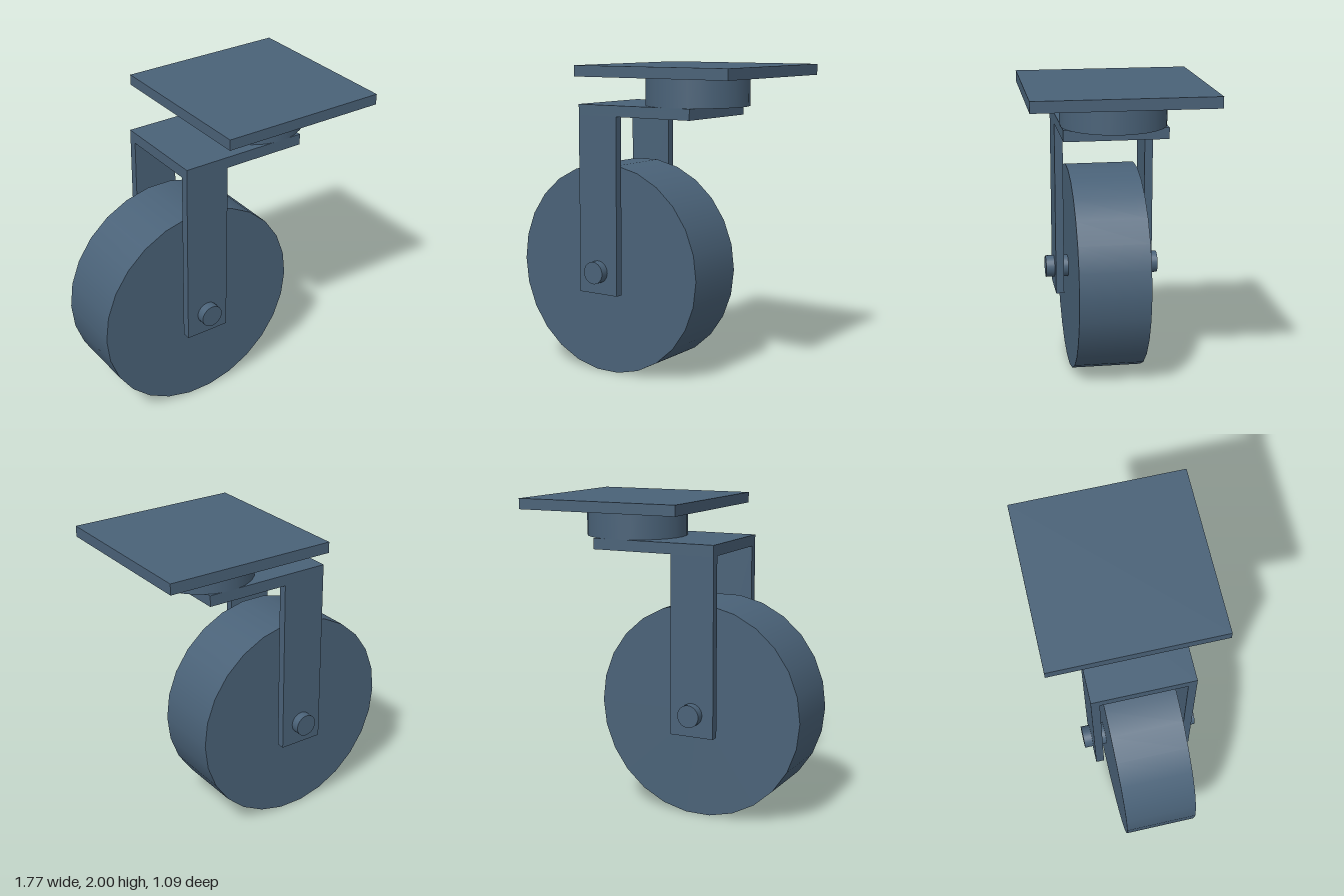
import * as THREE from 'three';

const SIDES = 26;

export function createModel() {
  const group = new THREE.Group();
  group.name = 'casterWheel';
  const material = new THREE.MeshStandardMaterial({ color: 0x4a6278 });

  const add = (name, geometry, x, y, z) => {
    const mesh = new THREE.Mesh(geometry, material);
    mesh.name = name;
    mesh.position.set(x, y, z);
    group.add(mesh);
  };
  // First vertex lies on the +x axis
  const cylinder = (radius, height) =>
    new THREE.CylinderGeometry(radius, radius, height, SIDES, 1, false, Math.PI / 2);

  const axleX = -0.205, axleY = 0.68, swivelX = 0.34;

  // Wheel and the axle through it
  add('wheel', cylinder(0.685, 0.455).rotateX(Math.PI / 2), axleX, axleY, 0);
  add('axle', cylinder(0.072, 0.75).rotateX(Math.PI / 2), axleX, axleY, 0);

  // Fork: two legs joined by a bridge that reaches under the swivel
  for (const side of [-1, 1]) {
    add(side > 0 ? 'frontForkLeg' : 'backForkLeg',
      new THREE.BoxGeometry(0.292, 1.145, 0.053), axleX, 1.1075, side * 0.2925);
  }
  add('forkBridge', new THREE.BoxGeometry(0.835, 0.07, 0.638), 0.0665, 1.713, 0);

  // Swivel drum and square mounting plate
  add('swivel', cylinder(0.326, 0.184), swivelX, 1.84, 0);
  add('mountingPlate', new THREE.BoxGeometry(1.09, 0.068, 1.09), swivelX, 1.966, 0);

  return group;
}
